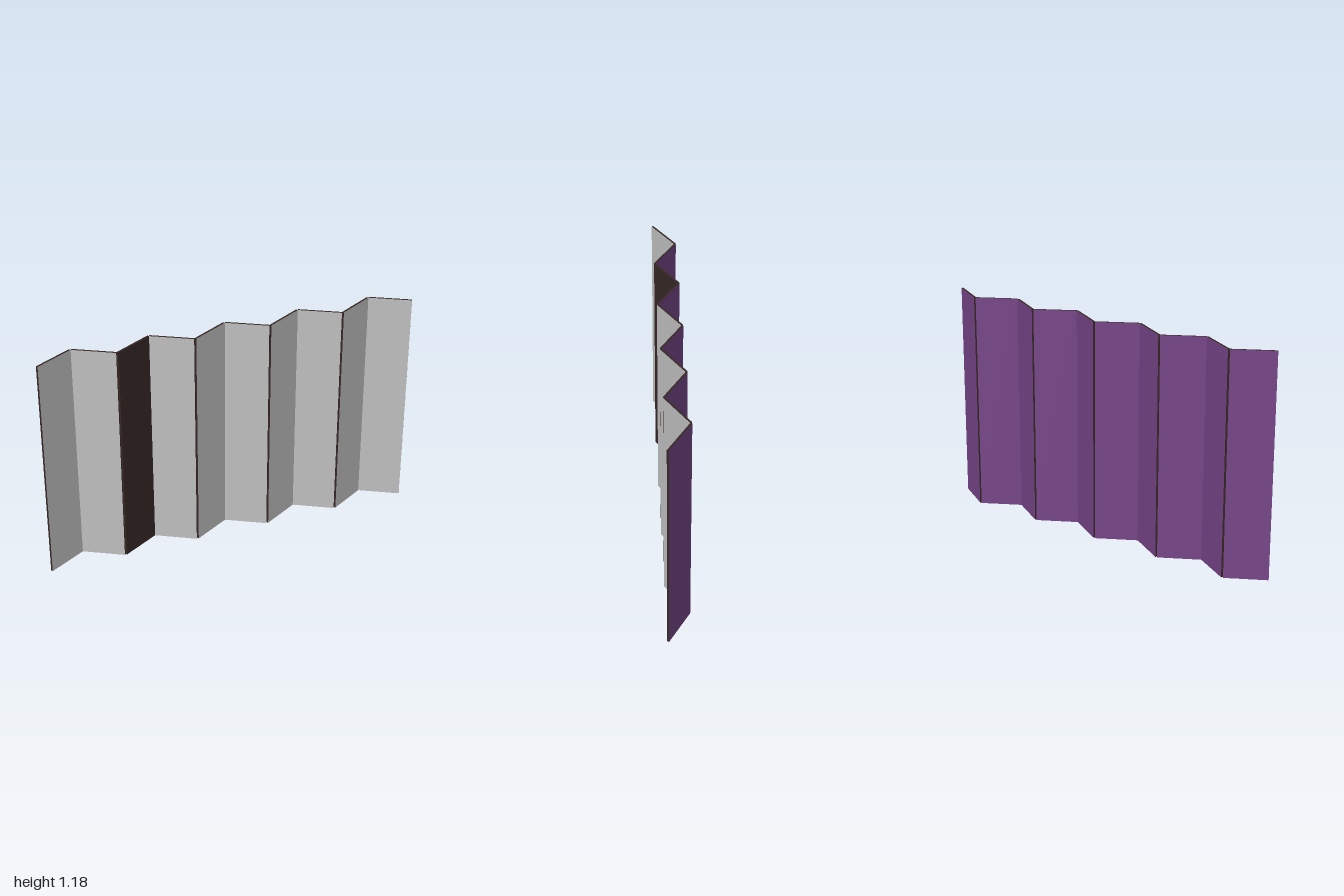
import * as THREE from 'three';

const PANELS = 10, STEP = 0.2, HEIGHT = 1.18, THICK = 0.011, DEPTH = 0.052;

function material(name, color) {
  const m = new THREE.MeshStandardMaterial({ color });
  m.name = name;
  return m;
}

export function createModel() {
  const group = new THREE.Group();
  group.name = 'foldingScreen';
  const grey = material('greyFront', 0xc0c0c0);
  const purple = material('purpleBack', 0x78478a);
  const dark = material('darkBrownEdge', 0x372826);

  // Hinge lines alternate between the front and back folds, drifting slightly
  const hinge = (i) => {
    const x = -1 + i * STEP;
    return new THREE.Vector2(x, (i % 2 ? -DEPTH : DEPTH) - 0.004 * x);
  };

  for (let i = 0; i < PANELS; i++) {
    const a = hinge(i), b = hinge(i + 1);
    const chord = a.distanceTo(b);
    const length = Math.sqrt(chord * chord - THICK * THICK);
    // Neighbouring panels touch at the inner corners and open on the outer side
    const lean = Math.atan2(THICK, length) * (i % 2 ? -1 : 1);
    const front = i === 2 ? dark : grey; // one panel has a dark front
    const panel = new THREE.Mesh(
      new THREE.BoxGeometry(length, HEIGHT, THICK),
      [dark, dark, dark, dark, front, purple]
    );
    panel.name = 'panel' + (i + 1);
    panel.position.set((a.x + b.x) / 2, HEIGHT / 2, (a.y + b.y) / 2);
    panel.rotation.y = Math.atan2(a.y - b.y, b.x - a.x) + lean;
    group.add(panel);
  }
  return group;
}
